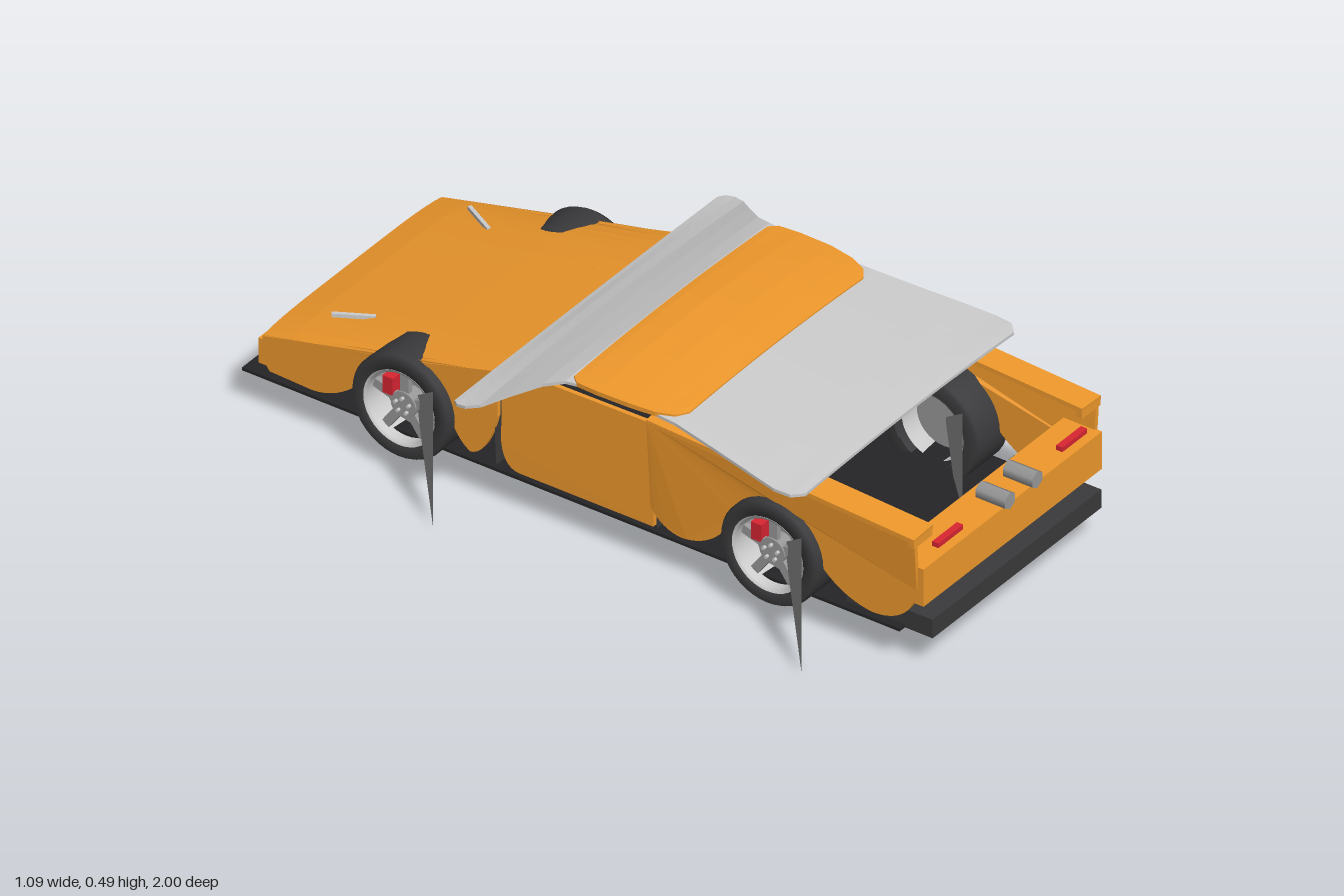
import * as THREE from 'three';

const mat = (color) => new THREE.MeshStandardMaterial({ color, side: THREE.DoubleSide });
const orange = mat(0xf0992c), dark = mat(0x3a3a3c), black = mat(0x252527);
const grey = mat(0xcccccc), metal = mat(0x999999), red = mat(0xd92632);

function add(parent, name, geometry, material, x = 0, y = 0, z = 0) {
  const m = new THREE.Mesh(geometry, material);
  m.name = name;
  m.position.set(x, y, z);
  parent.add(m);
  return m;
}

// box given by its minimum and maximum corners
function box(parent, name, material, [x0, y0, z0], [x1, y1, z1]) {
  return add(parent, name, new THREE.BoxGeometry(x1 - x0, y1 - y0, z1 - z0), material,
    (x0 + x1) / 2, (y0 + y1) / 2, (z0 + z1) / 2);
}

// crowned sheet through sections [z, halfWidth, centreY, edgeY], with a small thickness
function sheet(sections, thick = 0.008, power = 2) {
  const n = 24, pos = [], idx = [], rows = sections.length, cols = n + 1;
  for (const drop of [0, thick]) {
    for (const [z, w, yc, ye] of sections) {
      for (let i = 0; i <= n; i++) {
        const u = (i / n) * 2 - 1;
        pos.push(u * w, yc + (ye - yc) * Math.abs(u) ** power - drop, z);
      }
    }
  }
  const quad = (a, b, c, d) => idx.push(a, b, c, a, c, d);
  const off = rows * cols;
  for (let j = 0; j < rows - 1; j++) {
    for (let i = 0; i < n; i++) {
      const a = j * cols + i, d = a + cols;
      quad(a, d, d + 1, a + 1);
      quad(off + a, off + a + 1, off + d + 1, off + d);
    }
    const l = j * cols, r = l + n;
    quad(l, l + off, l + cols + off, l + cols);
    quad(r, r + cols, r + cols + off, r + off);
  }
  for (let i = 0; i < n; i++) {
    const e = (rows - 1) * cols + i;
    quad(i, i + 1, i + 1 + off, i + off);
    quad(e, e + off, e + 1 + off, e + 1);
  }
  const g = new THREE.BufferGeometry();
  g.setAttribute('position', new THREE.Float32BufferAttribute(pos, 3));
  g.setIndex(idx);
  const flat = g.toNonIndexed();
  flat.computeVertexNormals();
  return flat;
}

// side panel from a (z, y) outline; flares outwards near its top edge
function panel(shape, x, flare, side) {
  const g = new THREE.ExtrudeGeometry(shape, { depth: 0.012, bevelEnabled: false, curveSegments: 14 });
  const p = g.attributes.position;
  for (let i = 0; i < p.count; i++) {
    const z = p.getX(i), y = p.getY(i), d = p.getZ(i);
    const out = x - 0.012 + d + flare * THREE.MathUtils.smoothstep(y, 0.32, 0.42);
    p.setXYZ(i, side * out, y, z);
  }
  if (side > 0) { // keep the faces turned outwards
    for (let i = 0; i < p.count; i += 3) {
      const b = new THREE.Vector3().fromBufferAttribute(p, i + 1);
      const c = new THREE.Vector3().fromBufferAttribute(p, i + 2);
      p.setXYZ(i + 1, c.x, c.y, c.z);
      p.setXYZ(i + 2, b.x, b.y, b.z);
    }
  }
  g.computeVertexNormals();
  return g;
}

const WHEEL_Y = 0.198, REAR_Z = 0.54, FRONT_Z = -0.525;

function rearQuarterShape() {
  const s = new THREE.Shape();
  s.moveTo(0.18, 0.425);
  s.lineTo(0.95, 0.385);
  s.lineTo(0.95, 0.24);
  s.bezierCurveTo(0.94, 0.16, 0.88, 0.13, 0.82, 0.13);
  s.quadraticCurveTo(0.73, 0.14, 0.668, 0.21);
  s.absarc(REAR_Z, WHEEL_Y, 0.128, 0.1, Math.PI - 0.2, false);
  s.quadraticCurveTo(0.36, 0.13, 0.27, 0.125);
  s.quadraticCurveTo(0.21, 0.13, 0.18, 0.18);
  return s;
}

function frontFenderShape() {
  const s = new THREE.Shape();
  s.moveTo(-0.262, 0.385);
  s.lineTo(-0.262, 0.26);
  s.quadraticCurveTo(-0.29, 0.14, -0.34, 0.132);
  s.quadraticCurveTo(-0.375, 0.15, -0.4, 0.21);
  s.absarc(FRONT_Z, WHEEL_Y, 0.124, 0.1, Math.PI - 0.1, false);
  s.quadraticCurveTo(-0.72, 0.13, -0.8, 0.128);
  s.lineTo(-0.92, 0.133);
  s.lineTo(-0.94, 0.16);
  s.lineTo(-0.94, 0.225);
  return s;
}

function doorShape() {
  const s = new THREE.Shape();
  s.moveTo(0.18, 0.4);
  s.lineTo(0.18, 0.115);
  s.lineTo(-0.21, 0.115);
  s.quadraticCurveTo(-0.255, 0.12, -0.26, 0.19);
  s.lineTo(-0.26, 0.395);
  return s;
}

// wheel built along x, with its open face towards +x
function makeWheel() {
  const wheel = new THREE.Group();
  const lathe = (pts) => new THREE.LatheGeometry(pts.map((p) => new THREE.Vector2(...p)), 40).rotateZ(-Math.PI / 2);
  add(wheel, 'tyre', lathe([[0.103, -0.066], [0.134, -0.068], [0.14, -0.058], [0.14, 0.058],
    [0.134, 0.068], [0.103, 0.066], [0.1, 0.05], [0.1, -0.066]]), dark);
  add(wheel, 'rimBarrel', lathe([[0.103, 0.067], [0.094, 0.062], [0.09, -0.05]]), grey);
  add(wheel, 'brakeDisc', new THREE.CylinderGeometry(0.078, 0.078, 0.012, 32).rotateZ(Math.PI / 2), metal);
  add(wheel, 'hub', new THREE.CylinderGeometry(0.032, 0.036, 0.05, 20).rotateZ(Math.PI / 2), metal, 0.025);
  for (let i = 0; i < 5; i++) {
    const spoke = new THREE.Group();
    spoke.name = 'spoke';
    spoke.rotation.x = (i / 5) * Math.PI * 2;
    add(spoke, 'spokeBar', new THREE.BoxGeometry(0.014, 0.07, 0.024), metal, 0.038, 0.06);
    add(spoke, 'wheelNut', new THREE.CylinderGeometry(0.005, 0.005, 0.012, 6).rotateZ(Math.PI / 2), grey, 0.053, 0.02);
    wheel.add(spoke);
  }
  box(wheel, 'brakeCaliper', red, [0.0, 0.014, -0.06], [0.05, 0.062, -0.03]);
  return wheel;
}

export function createModel() {
  const car = new THREE.Group();
  car.name = 'car';

  // underbody and bumpers
  box(car, 'floorPan', black, [-0.362, 0.105, -1.0], [0.362, 0.113, 0.9]);
  box(car, 'rearLowerBumper', dark, [-0.34, 0.105, 0.73], [0.34, 0.157, 0.98]);
  box(car, 'rearBumper', orange, [-0.36, 0.2, 0.86], [0.36, 0.305, 0.968]);
  box(car, 'noseBumper', orange, [-0.355, 0.14, -0.957], [0.355, 0.21, -0.86]);
  box(car, 'noseGrille', dark, [-0.3, 0.205, -0.95], [0.3, 0.222, -0.9]);

  // bonnet, roof and glass
  add(car, 'bonnet', sheet([[-0.262, 0.362, 0.4, 0.388], [-0.525, 0.364, 0.343, 0.318],
    [-0.86, 0.36, 0.262, 0.245], [-0.942, 0.358, 0.237, 0.225]], 0.012, 5), orange);
  add(car, 'roof', sheet([[-0.02, 0.39, 0.495, 0.484], [0, 0.408, 0.498, 0.484], [0.06, 0.412, 0.502, 0.485],
    [0.15, 0.41, 0.5, 0.485], [0.22, 0.4, 0.495, 0.482], [0.265, 0.38, 0.49, 0.48], [0.285, 0.35, 0.488, 0.479]], 0.012), orange);
  add(car, 'windscreen', sheet([[0.02, 0.405, 0.494, 0.48], [-0.03, 0.412, 0.487, 0.478], [-0.08, 0.435, 0.47, 0.463],
    [-0.14, 0.485, 0.448, 0.437], [-0.19, 0.53, 0.428, 0.413], [-0.225, 0.545, 0.416, 0.404],
    [-0.25, 0.543, 0.405, 0.4], [-0.265, 0.53, 0.4, 0.397]]), grey);
  add(car, 'rearWindow', sheet([[0.18, 0.395, 0.492, 0.477], [0.28, 0.4, 0.485, 0.473], [0.4, 0.418, 0.474, 0.461],
    [0.52, 0.438, 0.463, 0.449], [0.6, 0.45, 0.455, 0.44], [0.645, 0.447, 0.45, 0.438], [0.67, 0.42, 0.447, 0.437]]), grey);

  for (const s of [-1, 1]) {
    const side = new THREE.Group();
    side.name = s > 0 ? 'leftSide' : 'rightSide';
    car.add(side);

    // body panels and the dark jambs behind the door gaps
    add(side, 'rearQuarter', panel(rearQuarterShape(), 0.362, 0.016, s), orange);
    add(side, 'frontFender', panel(frontFenderShape(), 0.362, 0, s), orange);
    add(side, 'door', panel(doorShape(), 0.35, -0.006, s), orange);
    for (const z of [0.192, -0.272]) {
      const jamb = new THREE.Shape([[0.3, 0.115], [0.352, 0.115], [0.358, 0.2], [0.358, 0.38], [0.3, 0.38], [0.335, 0.25]]
        .map(([x, y]) => new THREE.Vector2(s * x, y)));
      add(side, 'doorJamb', new THREE.ShapeGeometry(jamb), dark, 0, 0, z);
    }

    // rail along the top of the rear quarter, falling towards the tail
    const rail = new THREE.BoxGeometry(0.077, 0.012, 0.775);
    const p = rail.attributes.position;
    for (let i = 0; i < p.count; i++) {
      if (p.getX(i) * s < 0) p.setY(i, p.getY(i) + 0.004);
    }
    add(side, 'rearRail', rail, orange, s * 0.339, 0.405, 0.565).rotation.x = 0.052;
    box(side, 'railTail', orange, [s * 0.339 - 0.037, 0.365, 0.935], [s * 0.339 + 0.037, 0.388, 0.952]);

    // lights, exhausts and the small bonnet strips
    box(side, 'tailLight', red, [s * 0.25 - 0.05, 0.333, 0.95], [s * 0.25 + 0.05, 0.346, 0.968]);
    add(side, 'exhaustPipe', new THREE.CylinderGeometry(0.023, 0.023, 0.085, 6).rotateX(Math.PI / 2), metal, s * 0.055, 0.346, 0.957);
    add(side, 'bonnetStrip', new THREE.BoxGeometry(0.01, 0.01, 0.105), grey, s * 0.253, 0.295, -0.755).rotation.y = -s * 0.5;

    // wheels, each with a flat triangular fin that always points the same way
    for (const z of [REAR_Z, FRONT_Z]) {
      const wheel = makeWheel();
      wheel.name = z > 0 ? 'rearWheel' : 'frontWheel';
      wheel.position.set(s * 0.325, WHEEL_Y, z);
      if (s < 0) {
        wheel.rotation.y = Math.PI;
        wheel.getObjectByName('brakeCaliper').position.z *= -1;
      }
      side.add(wheel);
      const fin = new THREE.BufferGeometry();
      fin.setAttribute('position', new THREE.Float32BufferAttribute([0, 0, 0, -0.195, -0.19, 0.19, -0.195, 0.19, 0.19], 3));
      fin.computeVertexNormals();
      add(side, 'wheelFin', fin, metal, s * 0.325, WHEEL_Y, z);
    }
  }
  return car;
}
